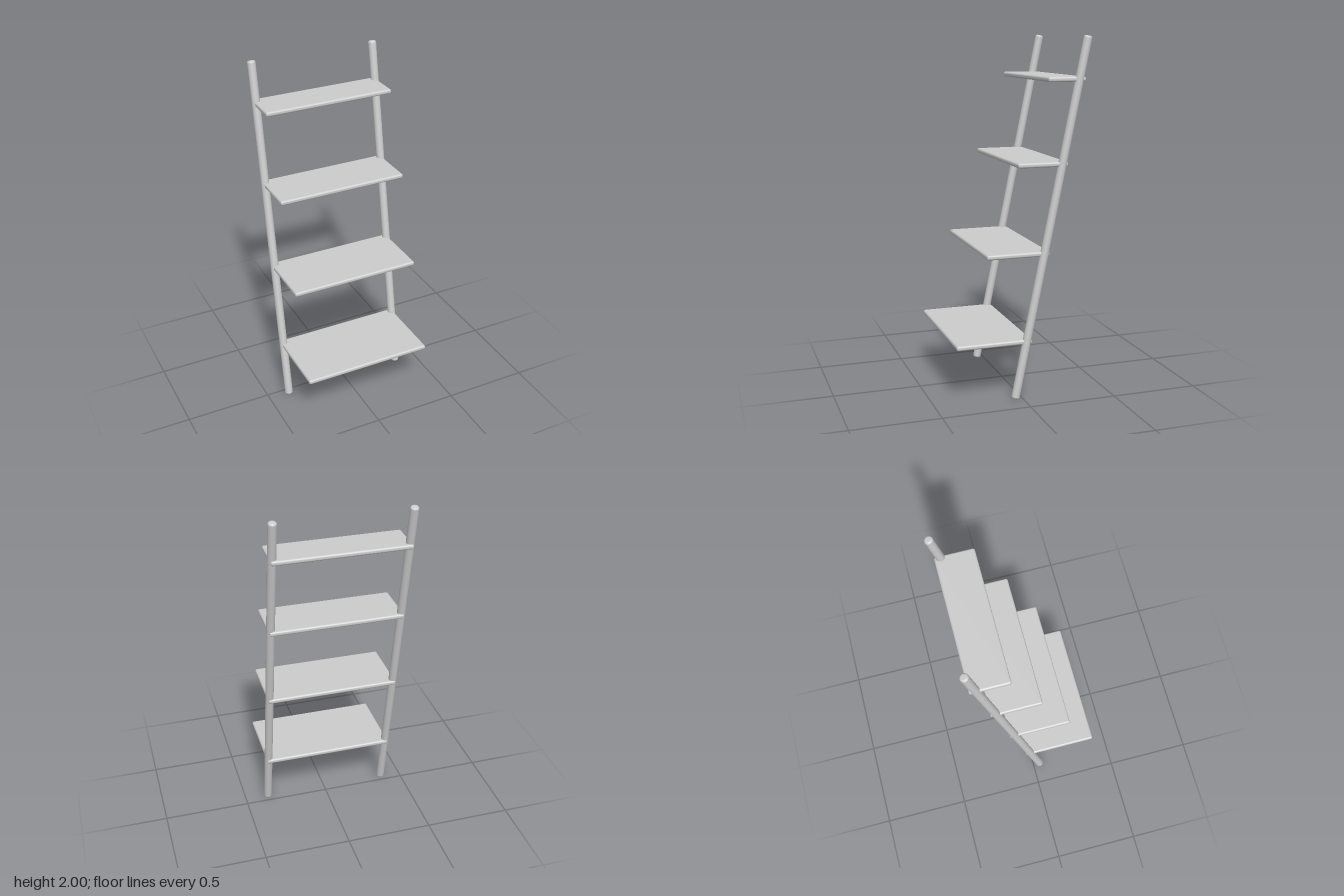
import * as THREE from 'three';
import { RoundedBoxGeometry } from 'three/addons/geometries/RoundedBoxGeometry.js';

const material = new THREE.MeshStandardMaterial({ color: 0xcccccc });

// Round pole with softened ends, running between two points
function makePole(name, bottom, top) {
  const radius = 0.0235, round = 0.012;
  const length = bottom.distanceTo(top);
  const profile = [new THREE.Vector2(0, 0)];
  for (let i = 0; i <= 5; i++) {
    const a = (i / 5) * Math.PI / 2;
    profile.push(new THREE.Vector2(radius - round + round * Math.sin(a), round - round * Math.cos(a)));
  }
  for (const p of [...profile].reverse()) profile.push(new THREE.Vector2(p.x, length - p.y));
  const pole = new THREE.Mesh(new THREE.LatheGeometry(profile, 32), material);
  pole.name = name;
  pole.position.copy(bottom);
  pole.quaternion.setFromUnitVectors(new THREE.Vector3(0, 1, 0), top.clone().sub(bottom).normalize());
  return pole;
}

export function createModel() {
  const group = new THREE.Group();
  group.name = 'ladderShelf';

  // Leaning side poles
  group.add(makePole('leftPole', new THREE.Vector3(0.362, 0.002, 0.042), new THREE.Vector3(0.373, 1.998, -0.362)));
  group.add(makePole('rightPole', new THREE.Vector3(-0.376, 0.002, 0.042), new THREE.Vector3(-0.363, 1.998, -0.362)));

  // Shelves, shallower towards the top: height, front z, back z, centre x
  const shelves = [
    [0.327, 0.38, -0.054, -0.005],
    [0.82, 0.207, -0.154, -0.003],
    [1.312, 0.033, -0.255, 0.001],
    [1.768, -0.135, -0.351, 0.003],
  ];
  shelves.forEach(([y, front, back, x], i) => {
    const shelf = new THREE.Mesh(new RoundedBoxGeometry(0.76, 0.027, front - back, 4, 0.011), material);
    shelf.name = `shelf${i + 1}`;
    shelf.position.set(x, y, (front + back) / 2);
    group.add(shelf);
  });

  return group;
}
